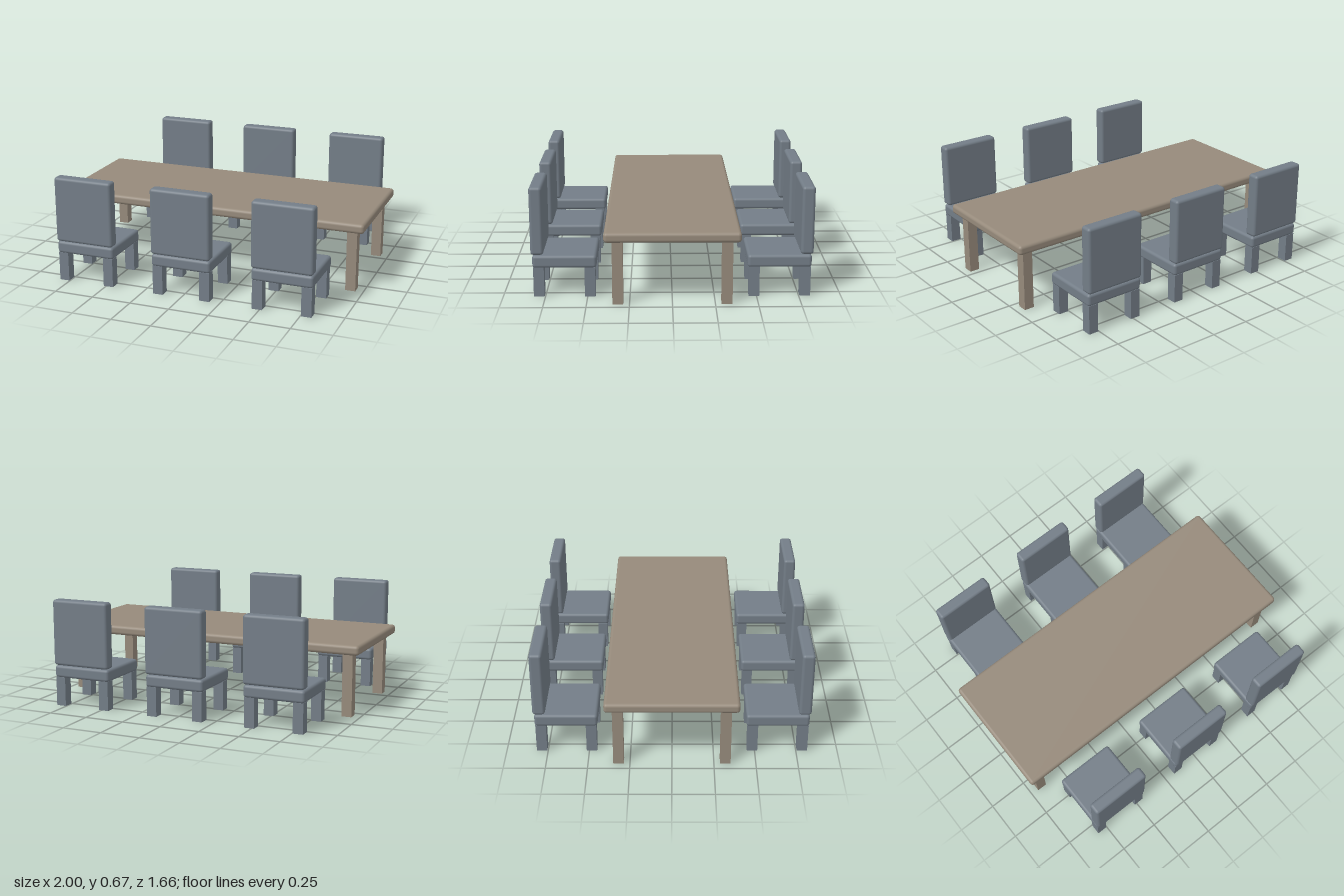
import * as THREE from 'three';
import { RoundedBoxGeometry } from 'three/addons/geometries/RoundedBoxGeometry.js';

const wood = new THREE.MeshStandardMaterial({ color: 0x968a7b });
wood.name = 'wood';
const fabric = new THREE.MeshStandardMaterial({ color: 0x737d87 });
fabric.name = 'slate fabric';

function add(parent, name, geometry, material, x, y, z) {
  const mesh = new THREE.Mesh(geometry, material);
  mesh.name = name;
  mesh.position.set(x, y, z);
  parent.add(mesh);
}

function createTable() {
  const table = new THREE.Group();
  table.name = 'table';
  add(table, 'tableTop', new RoundedBoxGeometry(2, 0.06, 0.79, 3, 0.02), wood, 0, 0.415, 0);

  // Four square legs set in from the corners
  const leg = new THREE.BoxGeometry(0.063, 0.39, 0.063);
  for (const x of [-0.92, 0.92]) {
    for (const z of [-0.318, 0.318]) add(table, 'tableLeg', leg, wood, x, 0.195, z);
  }
  return table;
}

// Chair with its backrest towards +z
function createChair() {
  const chair = new THREE.Group();
  chair.name = 'chair';
  add(chair, 'seat', new RoundedBoxGeometry(0.378, 0.076, 0.378, 3, 0.018), fabric, 0, 0.217, 0.634);
  add(chair, 'backrest', new RoundedBoxGeometry(0.378, 0.41, 0.076, 3, 0.018), fabric, 0, 0.463, 0.794);

  const leg = new THREE.BoxGeometry(0.063, 0.182, 0.063);
  for (const x of [-0.151, 0.151]) {
    for (const z of [0.485, 0.787]) add(chair, 'chairLeg', leg, fabric, x, 0.091, z);
  }
  return chair;
}

export function createModel() {
  const model = new THREE.Group();
  model.name = 'diningSet';
  model.add(createTable());

  // Three chairs along each long side, facing the table
  const chair = createChair();
  for (const turn of [0, Math.PI]) {
    for (const x of [-0.635, 0, 0.635]) {
      const copy = chair.clone();
      copy.position.x = x;
      copy.rotation.y = turn;
      model.add(copy);
    }
  }
  return model;
}
